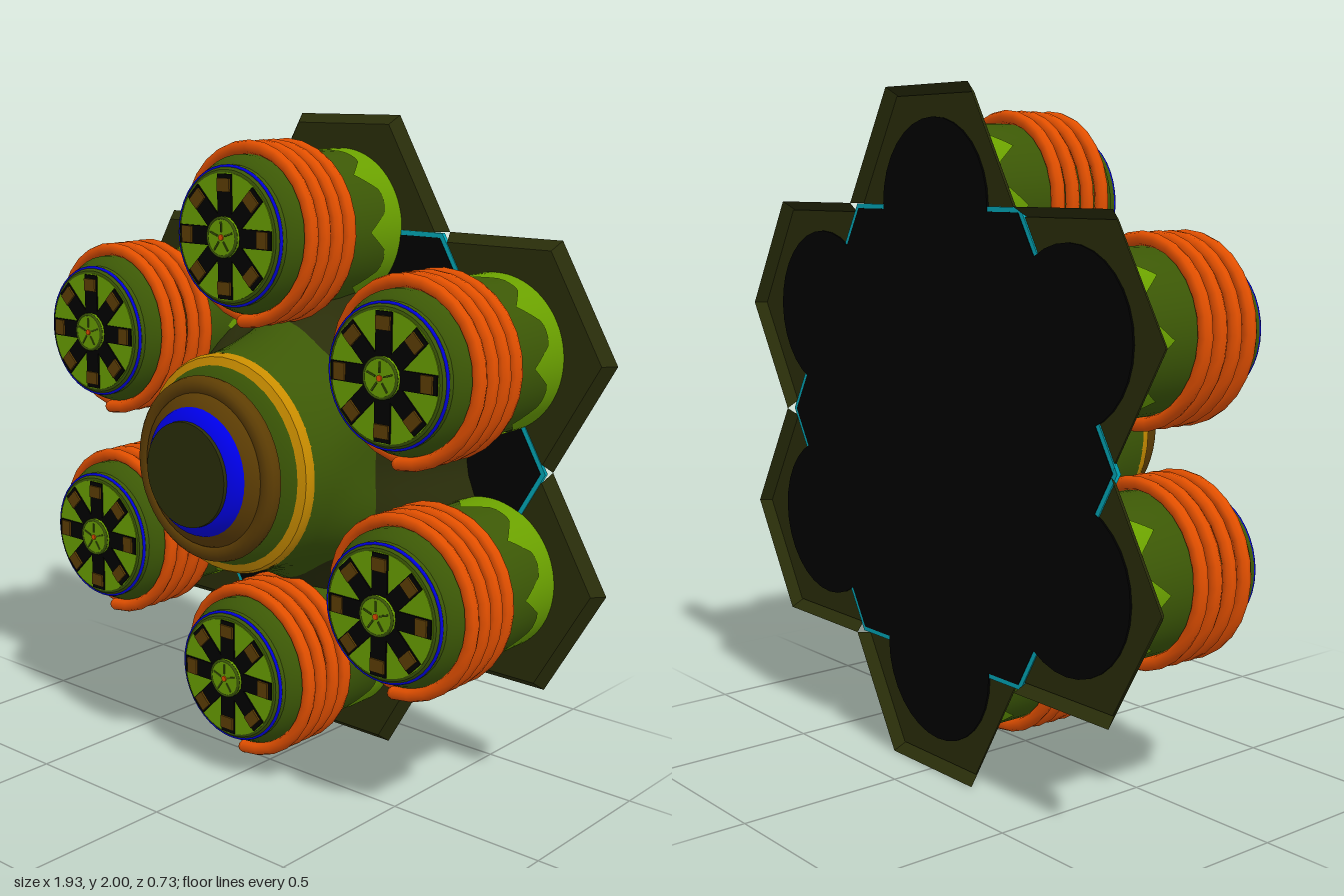
import * as THREE from 'three';
import { toCreasedNormals } from 'three/addons/utils/BufferGeometryUtils.js';

const paint = (name, color, side = THREE.FrontSide) => {
  const m = new THREE.MeshStandardMaterial({ color, side });
  m.name = name;
  return m;
};

export function createModel() {
  const olive = paint('dark olive', 0x2a2e0a, THREE.DoubleSide);
  const green = paint('hull green', 0x3c5806);
  const lime = paint('bright green', 0x6aa000, THREE.DoubleSide);
  const orange = paint('coil orange', 0xe45000);
  const brown = paint('brown', 0x5e3e04);
  const gold = paint('gold', 0xc88c00);
  const blue = paint('blue', 0x0000e8);
  const cyan = paint('cyan', 0x00a8b8);
  const black = paint('black', 0x000000);

  const add = (parent, name, geo, mat, x = 0, y = 0, z = 0) => {
    const mesh = new THREE.Mesh(geo, mat);
    mesh.name = name;
    mesh.position.set(x, y, z);
    parent.add(mesh);
    return mesh;
  };
  // Turned part about the z axis, from [radius, z] pairs running back to front
  const lathe = (pairs, seg) =>
    new THREE.LatheGeometry(pairs.map(([r, z]) => new THREE.Vector2(r, z)), seg).rotateX(Math.PI / 2);
  const turned = (pairs) => toCreasedNormals(lathe(pairs, 40), 0.6);
  // Disc or prism along z, between two depths
  const drum = (rFront, rBack, z0, z1, seg = 32, start = 0) =>
    new THREE.CylinderGeometry(rFront, rBack, z1 - z0, seg, 1, false, start)
      .rotateX(Math.PI / 2).translate(0, 0, (z0 + z1) / 2);
  const hex = (r, z0, z1) => drum(r, r, z0, z1, 6, Math.PI / 6);

  const model = new THREE.Group();
  model.name = 'podCluster';
  const body = new THREE.Group();
  body.name = 'body';
  body.position.y = 1;
  model.add(body);

  // Base: cyan-edged black hexagon joining the six trays
  add(body, 'baseTrim', hex(0.768, -0.340, -0.327), cyan);
  add(body, 'baseCore', hex(0.752, -0.342, -0.325), black);

  // Central hub, its foot flared toward the pods
  const flared = (pairs) => {
    const geo = lathe(pairs, 72);
    const p = geo.attributes.position;
    for (let i = 0; i < p.count; i++) {
      const x = p.getX(i), y = p.getY(i);
      const flare = Math.max(0, (0.1 - p.getZ(i)) / 0.43);
      const k = 1 + 0.14 * flare * (1 - Math.cos(6 * Math.atan2(y, x)));
      p.setXY(i, x * k, y * k);
    }
    geo.computeVertexNormals();
    return geo;
  };
  add(body, 'hubFoot', flared([[0.5, -0.33], [0.44, -0.24], [0.39, -0.12], [0.367, -0.05]]), olive);
  add(body, 'hubBody', flared([[0.367, -0.05], [0.35, 0.02], [0.335, 0.1], [0.33, 0.178]]), green);
  add(body, 'hubGoldBand', turned([[0.33, 0.175], [0.33, 0.19], [0.322, 0.205], [0.298, 0.215]]), gold);
  add(body, 'hubShoulder', turned([[0.298, 0.215], [0.275, 0.232], [0.22, 0.25]]), green);
  add(body, 'hubRing', new THREE.TorusGeometry(0.246, 0.03, 12, 48), brown, 0, 0, 0.27);
  add(body, 'hubCone', turned([[0.24, 0.27], [0.225, 0.3], [0.19, 0.32]]), brown);
  add(body, 'hubBlueRing', turned([[0.194, 0.312], [0.188, 0.328], [0.168, 0.348], [0.155, 0.354]]), blue);
  add(body, 'hubCap', drum(0.155, 0.158, 0.33, 0.365, 40), olive);

  // One pod, centred on its own axis
  const pod = new THREE.Group();
  pod.name = 'pod';
  add(pod, 'trayFloor', hex(0.354, -0.336, -0.33), olive);
  add(pod, 'podBackDisc', drum(0.245, 0.245, -0.342, -0.335), black);
  add(pod, 'podShell', turned([[0.23, -0.33], [0.23, 0.115], [0.215, 0.145], [0.203, 0.155],
    [0.203, 0.17], [0.19, 0.185], [0.176, 0.188]]), green);

  // Bright collar with eight pointed teeth
  const collar = new THREE.CylinderGeometry(0.233, 0.233, 1, 80, 1, true).rotateX(Math.PI / 2);
  const cp = collar.attributes.position;
  for (let i = 0; i < cp.count; i++) {
    const a = Math.atan2(cp.getY(i), cp.getX(i)) / (Math.PI / 4);
    const off = Math.abs(a - Math.round(a)) * 2;
    cp.setZ(i, cp.getZ(i) < 0 ? -0.33 : -0.262 + 0.08 * Math.max(0, 1 - 1.5 * off));
  }
  add(pod, 'podCollar', collar, lime);

  // Four-turn coil
  const coilPoints = [];
  for (let i = 0; i <= 96; i++) {
    const a = -Math.PI / 2 + i * Math.PI / 12;
    coilPoints.push(new THREE.Vector3(0.25 * Math.cos(a), 0.25 * Math.sin(a), 0.117 - 0.22 * i / 96));
  }
  const coilPath = new THREE.CatmullRomCurve3(coilPoints);
  add(pod, 'coil', new THREE.TubeGeometry(coilPath, 112, 0.02, 8), orange);
  for (const end of [coilPoints[0], coilPoints[96]])
    add(pod, 'coilEnd', new THREE.SphereGeometry(0.02, 8, 6), orange, end.x, end.y, end.z);

  // Pod face: blue ring, disc, black spokes with brown outer blocks
  add(pod, 'podBlueRing', new THREE.TorusGeometry(0.199, 0.005, 6, 40), blue, 0, 0, 0.173);
  add(pod, 'podFace', drum(0.182, 0.182, 0.16, 0.189, 40), lime);
  for (let i = 0; i < 8; i++) {
    const spoke = new THREE.Group();
    spoke.name = 'spoke';
    spoke.rotation.z = i * Math.PI / 4;
    add(spoke, 'spokeSlot', new THREE.BoxGeometry(0.122, 0.054, 0.008), black, 0.117, 0, 0.19);
    add(spoke, 'spokeBlock', new THREE.BoxGeometry(0.038, 0.048, 0.016), brown, 0.147, 0, 0.192);
    pod.add(spoke);
  }
  add(pod, 'podHub', drum(0.056, 0.062, 0.18, 0.207, 20), lime);
  add(pod, 'podHubRing', new THREE.TorusGeometry(0.055, 0.005, 6, 24), green, 0, 0, 0.204);
  for (let i = 0; i < 5; i++) {
    const a = Math.PI / 2 + i * Math.PI * 0.4;
    add(pod, 'podHubRib', new THREE.BoxGeometry(0.03, 0.005, 0.004), green,
      0.03 * Math.cos(a), 0.03 * Math.sin(a), 0.208).rotation.z = a;
  }
  add(pod, 'podHubPin', drum(0.009, 0.009, 0.2, 0.211, 8), orange);

  // Sloping wall along the three outer sides of a tray, open at the back
  const trayWall = new THREE.CylinderGeometry(0.354, 0.385, 0.035, 3, 1, true, Math.PI / 2, Math.PI)
    .rotateX(Math.PI / 2).translate(0, 0, -0.3475).toNonIndexed();
  trayWall.computeVertexNormals();

  // Six pods around the hub
  for (let i = 0; i < 6; i++) {
    const a = Math.PI / 6 + i * Math.PI / 3;
    const x = 0.667 * Math.cos(a), y = 0.667 * Math.sin(a);
    const p = pod.clone();
    p.position.set(x, y, 0);
    body.add(p);
    add(body, 'trayWall', trayWall, olive, x, y, 0).rotation.z = a - Math.PI / 2;
  }
  return model;
}
